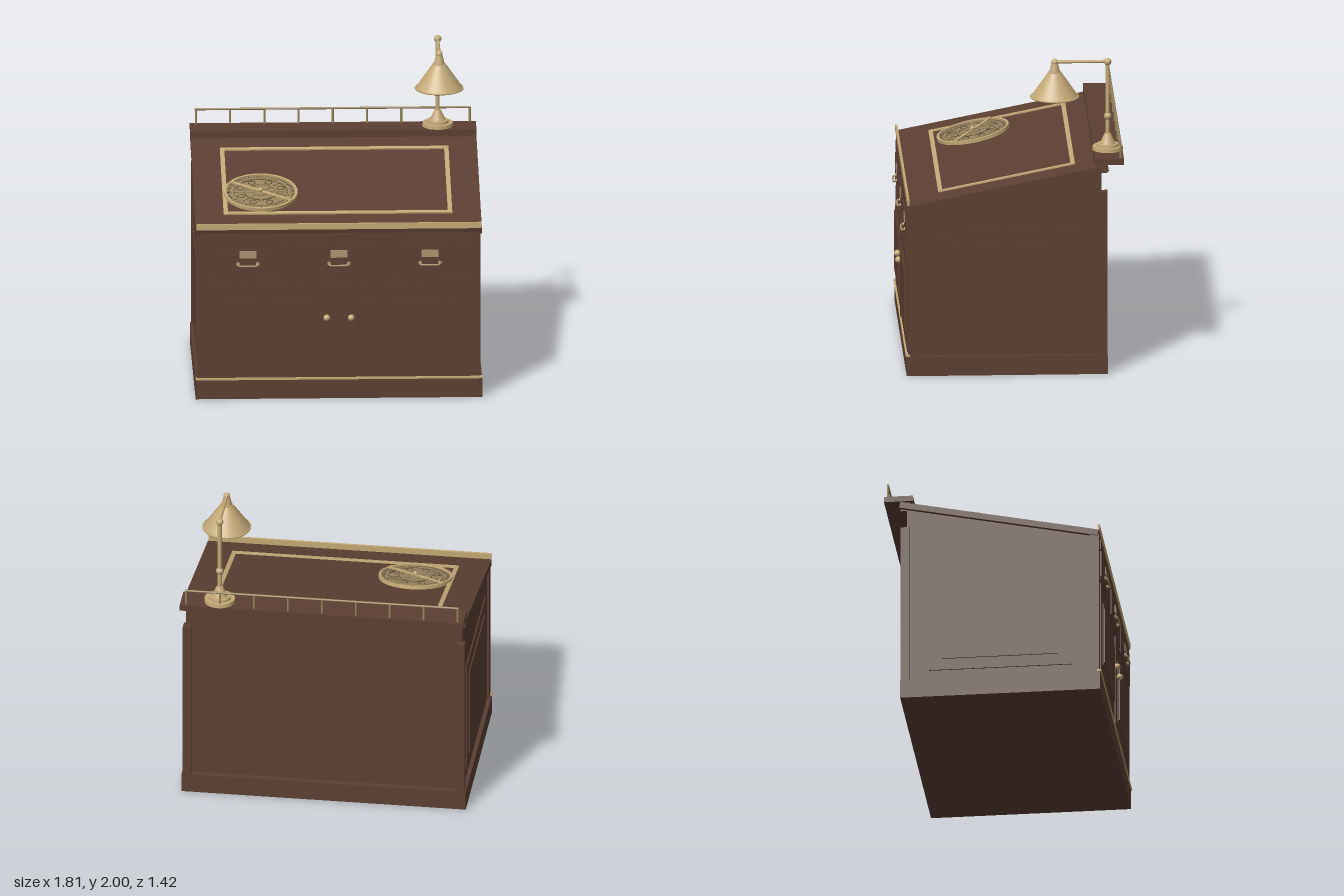
import * as THREE from 'three';

export function createModel() {
  const root = new THREE.Group();
  const mat = (name, color) => {
    const m = new THREE.MeshStandardMaterial({ color });
    m.name = name;
    return m;
  };
  const wood = mat('dark wood', 0x5c4033);
  const brass = mat('brass', 0xc4aa78);
  const shadeBrass = mat('shade brass', 0xc4aa78);
  shadeBrass.side = THREE.DoubleSide;
  const aged = mat('aged brass', 0x9a8660);
  const plate = mat('label brass', 0xb09470);
  const dark = mat('engraving', 0x55492f);

  const add = (name, geo, m, x = 0, y = 0, z = 0, parent = root) => {
    const mesh = new THREE.Mesh(geo, m);
    mesh.name = name;
    mesh.position.set(x, y, z);
    parent.add(mesh);
    return mesh;
  };
  // box given by its minimum and maximum on each axis
  const box = (name, m, x0, x1, y0, y1, z0, z1, parent = root) =>
    add(name, new THREE.BoxGeometry(x1 - x0, y1 - y0, z1 - z0), m,
      (x0 + x1) / 2, (y0 + y1) / 2, (z0 + z1) / 2, parent);
  const group = (name, parent = root) => {
    const g = new THREE.Group();
    g.name = name;
    parent.add(g);
    return g;
  };
  // flat ring lying in the xz plane
  const ring = (name, m, rIn, rOut, y0, y1, parent, x = 0, z = 0, seg = 48) => {
    const p = [[rIn, y0], [rOut, y0], [rOut, y1], [rIn, y1], [rIn, y0]];
    const geo = new THREE.LatheGeometry(p.map(([r, y]) => new THREE.Vector2(r, y)), seg).toNonIndexed();
    geo.computeVertexNormals();
    return add(name, geo, m, x, 0, z, parent);
  };

  // Cabinet with sloping sides
  const profile = new THREE.Shape([[0.655, 0.02], [0.655, 1.085], [-0.56, 1.33], [-0.56, 0.02]]
    .map(([z, y]) => new THREE.Vector2(z, y)));
  const bodyGeo = new THREE.ExtrudeGeometry(profile, { depth: 1.76, bevelEnabled: false });
  bodyGeo.translate(0, 0, -0.88).rotateY(-Math.PI / 2);
  add('cabinetBody', bodyGeo, wood);
  box('faceFrame', wood, -0.895, 0.895, 0.1, 1.08, 0.6, 0.66);
  box('plinth', wood, -0.905, 0.905, 0, 0.125, -0.6, 0.67);
  box('plinthTrim', brass, -0.905, 0.905, 0.125, 0.138, 0.65, 0.676);
  for (const s of [-1, 1]) {
    const side = group(s > 0 ? 'leftSide' : 'rightSide');
    const slab = (name, x0, x1, ...r) => box(name, wood, Math.min(s * x0, s * x1), Math.max(s * x0, s * x1), ...r, side);
    slab('backPost', 0.845, 0.897, 0.12, 1.19, -0.6, -0.54);
    slab('sidePanel', 0.87, 0.889, 0.19, 0.935, -0.42, 0.485);
    slab('raisedSidePanel', 0.88, 0.897, 0.265, 0.855, -0.34, 0.4);
  }

  // Front rails and dividers
  box('topRail', wood, -0.83, 0.83, 1.008, 1.07, 0.65, 0.666);
  box('middleRail', wood, -0.83, 0.83, 0.752, 0.772, 0.65, 0.666);
  box('drawerRail', wood, -0.83, 0.83, 0.8, 0.815, 0.65, 0.664);
  box('bottomRail', wood, -0.83, 0.83, 0.138, 0.16, 0.65, 0.664);
  box('centreStile', wood, -0.027, 0.027, 0.145, 0.772, 0.65, 0.672);
  for (const s of [-1, 1]) box('drawerDivider', wood, s * 0.29 - 0.02, s * 0.29 + 0.02, 0.805, 1.008, 0.65, 0.666);

  // Three drawers with label plates and bail handles
  for (const i of [-1, 0, 1]) {
    const drawer = group('drawer');
    drawer.position.x = i * 0.575;
    box('drawerFront', wood, -0.255, 0.255, 0.82, 0.992, 0.65, 0.67, drawer);
    box('labelPlate', plate, -0.054, 0.054, 0.927, 0.976, 0.668, 0.674, drawer);
    const pts = [[-0.062, 0.892, 0.668], [-0.062, 0.885, 0.688], [-0.05, 0.88, 0.692], [0.05, 0.88, 0.692],
      [0.062, 0.885, 0.688], [0.062, 0.892, 0.668]].map((p) => new THREE.Vector3(...p));
    const path = new THREE.CatmullRomCurve3(pts, false, 'catmullrom', 0.1);
    add('handleBail', new THREE.TubeGeometry(path, 24, 0.006, 8), plate, 0, 0, 0, drawer);
    for (const s of [-1, 1]) {
      add('handleMount', new THREE.CylinderGeometry(0.012, 0.012, 0.008, 14).rotateX(Math.PI / 2), plate,
        s * 0.062, 0.89, 0.673, drawer);
    }
  }

  // Two doors with stepped panels and knobs
  for (const s of [-1, 1]) {
    const door = group(s > 0 ? 'leftDoor' : 'rightDoor');
    door.position.x = s * 0.4325;
    box('doorLeaf', wood, -0.3975, 0.3975, 0.16, 0.752, 0.65, 0.668, door);
    box('doorPanel', wood, -0.317, 0.317, 0.24, 0.665, 0.655, 0.674, door);
    box('raisedDoorPanel', wood, -0.292, 0.292, 0.265, 0.64, 0.66, 0.681, door);
    add('knob', new THREE.SphereGeometry(0.021, 20, 14), brass, -s * 0.355, 0.535, 0.688, door);
    add('knobStem', new THREE.CylinderGeometry(0.009, 0.009, 0.03, 12).rotateX(Math.PI / 2), brass, -s * 0.355, 0.535, 0.672, door);
  }

  // Sloping desk top with inlaid border; local y = 0 is its surface
  const slope = group('slopingTop');
  slope.position.y = 1.2436;
  slope.rotation.x = 0.2;
  box('deskBoard', wood, -0.903, 0.903, -0.04, 0, -0.612, 0.673, slope);
  for (const z of [-0.396, 0.458]) box('borderStrip', brass, -0.722, 0.722, -0.002, 0.01, z - 0.014, z + 0.014, slope);
  for (const x of [-0.708, 0.708]) box('borderStrip', brass, x - 0.014, x + 0.014, -0.002, 0.009, -0.396, 0.458, slope);
  box('frontLip', brass, -0.9, 0.9, 1.112, 1.15, 0.652, 0.666);

  // Round engraved instrument
  const dial = group('dial', slope);
  dial.position.set(-0.48, 0, 0.194);
  add('dialDisc', new THREE.CylinderGeometry(0.226, 0.226, 0.012, 56), aged, 0, 0.006, 0, dial);
  ring('dialRim', brass, 0.218, 0.233, 0, 0.022, dial);
  ring('scaleRing', aged, 0.172, 0.18, 0.01, 0.018, dial);
  ring('scaleLine', dark, 0.166, 0.17, 0.01, 0.013, dial);
  ring('innerRing', aged, 0.092, 0.102, 0.01, 0.02, dial);
  ring('innerLine', dark, 0.103, 0.107, 0.01, 0.014, dial);
  ring('hubRing', aged, 0.04, 0.048, 0.01, 0.02, dial);
  const radial = (name, m, r0, r1, w, h, a) => {
    const geo = new THREE.BoxGeometry(r1 - r0, h, w).translate((r0 + r1) / 2, 0.012, 0);
    add(name, geo, m, 0, 0, 0, dial).rotation.y = a;
  };
  for (let i = 0; i < 72; i++) {
    radial('scaleTick', dark, i % 6 ? 0.196 : 0.184, 0.212, 0.005, 0.003, i * Math.PI / 36);
  }
  for (let i = 0; i < 8; i++) {
    const a = i * Math.PI / 4;
    radial('spoke', aged, 0.045, 0.176, 0.007, 0.012, a);
    ring('traceryRing', dark, 0.02, 0.024, 0.01, 0.014, dial,
      0.138 * Math.cos(a + 0.39), 0.138 * Math.sin(a + 0.39), 20);
  }
  box('sightRule', brass, -0.228, 0.228, 0.018, 0.026, -0.01, 0.01, dial).rotation.y = -0.585;
  for (const s of [-1, 1]) {
    box('sightVane', brass, s * 0.2 - 0.005, s * 0.2 + 0.005, -0.01, 0.006, -0.01, 0.01, dial)
      .position.set(s * 0.2 * Math.cos(0.585), 0.028, s * 0.2 * Math.sin(0.585));
  }
  add('pivot', new THREE.SphereGeometry(0.015, 16, 12), brass, 0, 0.031, 0, dial);

  // Back shelf and gallery rail
  box('shelf', wood, -0.903, 0.903, 1.368, 1.405, -0.703, -0.52);
  box('shelfSupport', wood, -0.88, 0.88, 1.31, 1.37, -0.6, -0.54);
  const gallery = group('galleryRail');
  const bar = new THREE.CylinderGeometry(0.007, 0.007, 1.744, 10).rotateZ(Math.PI / 2);
  add('handrail', bar, aged, 0, 1.503, -0.682, gallery);
  for (let i = 0; i < 9; i++) {
    add('baluster', new THREE.CylinderGeometry(0.007, 0.007, 0.1, 10), aged, -0.865 + i * 0.21625, 1.453, -0.682, gallery);
  }

  // Desk lamp
  const lamp = group('lamp');
  lamp.position.set(0.66, 0, -0.61);
  const cyl = (name, rTop, rBot, y0, y1, z = 0) =>
    add(name, new THREE.CylinderGeometry(rTop, rBot, y1 - y0, 32), brass, 0, (y0 + y1) / 2, z, lamp);
  cyl('lampBase', 0.096, 0.098, 1.405, 1.428);
  cyl('lampBaseStep', 0.068, 0.07, 1.428, 1.444);
  cyl('lampBaseCone', 0.02, 0.05, 1.444, 1.51);
  cyl('lampPole', 0.013, 0.013, 1.5, 1.975);
  for (const y of [1.622, 1.978]) add('lampJoint', new THREE.SphereGeometry(0.024, 20, 14), brass, 0, y, 0, lamp);
  add('lampArm', new THREE.CylinderGeometry(0.01, 0.01, 0.335, 16).rotateX(Math.PI / 2), brass, 0, 1.98, 0.1675, lamp);
  add('armEnd', new THREE.SphereGeometry(0.022, 20, 14), brass, 0, 1.978, 0.335, lamp);
  cyl('shadeCap', 0.02, 0.036, 1.908, 1.975, 0.335);
  const shade = new THREE.CylinderGeometry(0.042, 0.15, 0.158, 40, 1, true);
  add('lampShade', shade, shadeBrass, 0, 1.833, 0.335, lamp);
  add('shadeRim', new THREE.TorusGeometry(0.149, 0.006, 8, 40).rotateX(Math.PI / 2), brass, 0, 1.755, 0.335, lamp);
  cyl('shadeTop', 0.042, 0.042, 1.908, 1.914, 0.335);

  return root;
}
